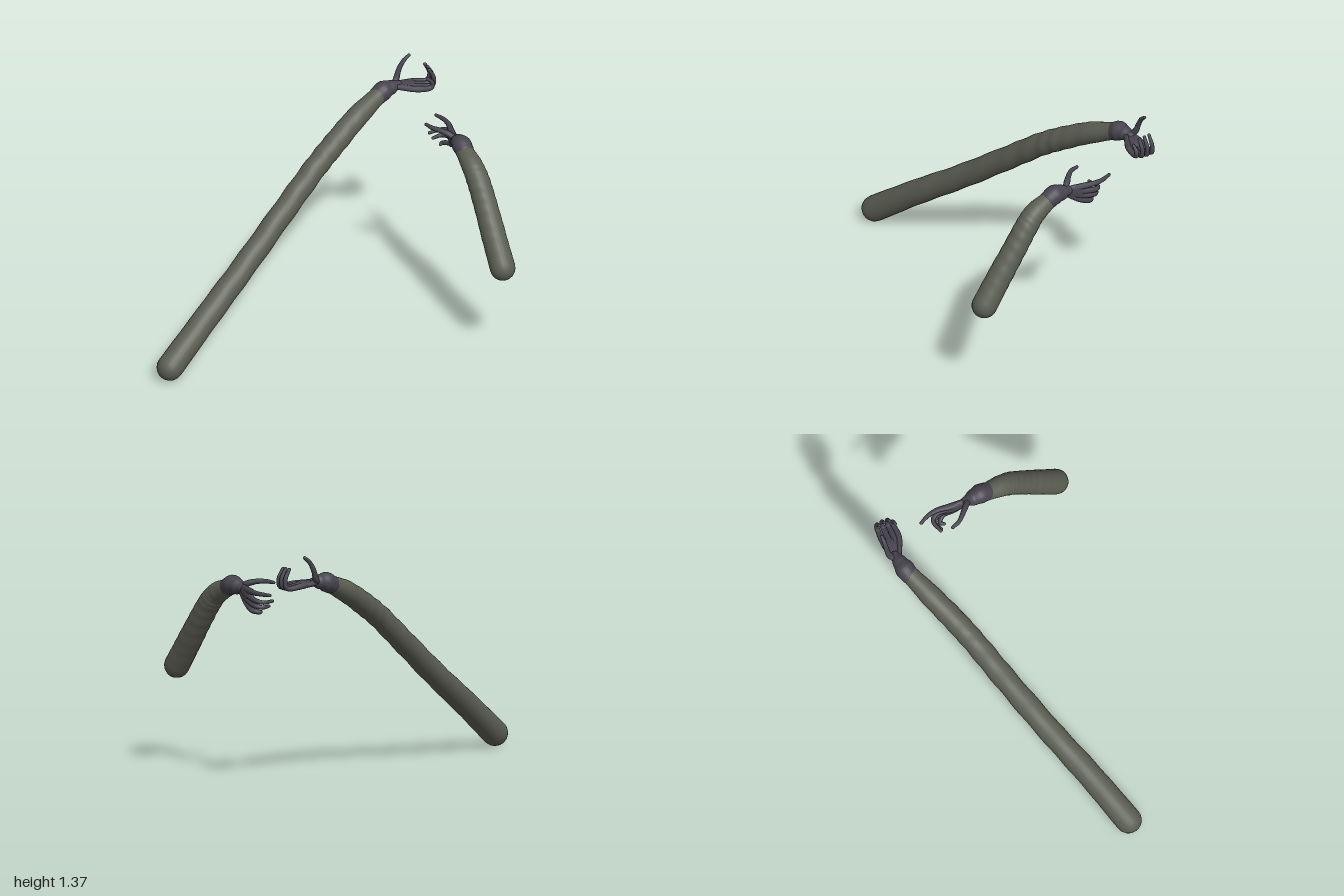
import * as THREE from 'three';

const sleeveMat = new THREE.MeshStandardMaterial({ color: 0x5b5e52 });
sleeveMat.name = 'olive sleeve';
const gloveMat = new THREE.MeshStandardMaterial({ color: 0x47444f });
gloveMat.name = 'dark glove';

// Round limb swept through [x, y, z, radius] points, with domed ends.
function limb(name, pts, material, { steps = 24, sides = 14, folds = 0 } = {}) {
  const curve = new THREE.CatmullRomCurve3(pts.map(p => new THREE.Vector3(p[0], p[1], p[2])));
  const radiusAt = t => {
    const f = t * (pts.length - 1), i = Math.min(Math.floor(f), pts.length - 2);
    return THREE.MathUtils.lerp(pts[i][3], pts[i + 1][3], THREE.MathUtils.smoothstep(f - i, 0, 1));
  };
  // rings: [t, offset along the tangent, radius scale]
  const rings = [], cap = 5;
  for (let i = 0; i < cap; i++) {
    const a = (i / cap) * Math.PI / 2;
    rings.push([0, -Math.cos(a), Math.sin(a)]);
  }
  for (let i = 0; i <= steps; i++) rings.push([i / steps, 0, 1]);
  for (let i = cap - 1; i >= 0; i--) {
    const a = (i / cap) * Math.PI / 2;
    rings.push([1, Math.cos(a), Math.sin(a)]);
  }
  const pos = [], index = [];
  const normal = new THREE.Vector3(0.13, 0.31, 0.94);
  rings.forEach(([t, off, scale], k) => {
    const T = curve.getTangent(t), r = radiusAt(t);
    normal.addScaledVector(T, -normal.dot(T)).normalize();
    const B = new THREE.Vector3().crossVectors(T, normal);
    const c = curve.getPoint(t).addScaledVector(T, off * r);
    for (let j = 0; j < sides; j++) {
      const a = (j / sides) * Math.PI * 2;
      // gentle cloth folds
      const rr = r * scale * (1 + folds * Math.sin(t * 75 + 2 * Math.sin(a)) * Math.sin(Math.PI * t));
      const v = c.clone().addScaledVector(normal, rr * Math.cos(a)).addScaledVector(B, rr * Math.sin(a));
      pos.push(v.x, v.y, v.z);
      if (k < rings.length - 1) {
        const p = k * sides + j, q = k * sides + (j + 1) % sides;
        index.push(p, q, p + sides, q, q + sides, p + sides);
      }
    }
  });
  const g = new THREE.BufferGeometry();
  g.setAttribute('position', new THREE.Float32BufferAttribute(pos, 3));
  g.setIndex(index);
  g.computeVertexNormals();
  const mesh = new THREE.Mesh(g, material);
  mesh.name = name;
  return mesh;
}

function ellipsoid(name, center, scale, rotation) {
  const mesh = new THREE.Mesh(new THREE.SphereGeometry(1, 20, 14), gloveMat);
  mesh.name = name;
  mesh.position.set(...center);
  mesh.scale.set(...scale);
  mesh.rotation.set(...rotation);
  return mesh;
}

// Finger joints get radii that bulge at the knuckles and taper to the tip.
const fingerRadii = [0.017, 0.018, 0.015, 0.0125, 0.0095];
function finger(name, joints) {
  return limb(name, joints.map((p, i) => [...p, fingerRadii[i]]), gloveMat, { steps: 20, sides: 10 });
}

function longArm() {
  const arm = new THREE.Group();
  arm.name = 'longArm';
  arm.add(limb('longSleeve', [
    [-0.925, 0.077, 0.215, 0.075], [-0.67, 0.29, 0.09, 0.071], [-0.4, 0.505, -0.05, 0.068],
    [-0.1, 0.76, -0.2, 0.066], [0.1, 0.93, -0.295, 0.065], [0.22, 1.015, -0.355, 0.065],
    [0.37, 1.11, -0.435, 0.062], [0.53, 1.19, -0.515, 0.05],
  ], sleeveMat, { steps: 90, sides: 24, folds: 0.03 }));
  arm.add(limb('longArmCuff', [
    [0.525, 1.185, -0.515, 0.053], [0.56, 1.203, -0.527, 0.056],
    [0.605, 1.21, -0.538, 0.042], [0.65, 1.213, -0.548, 0.026],
  ], gloveMat, { sides: 20 }));
  arm.add(ellipsoid('longArmPalm', [0.695, 1.207, -0.545], [0.072, 0.02, 0.047], [0, 0.05, 0]));
  // four fingers lie along the palm, then curl upward
  const zs = [-0.578, -0.545, -0.513, -0.485];
  const tips = [1.305, 1.305, 1.3, 1.26], reach = [0.845, 0.85, 0.85, 0.835];
  zs.forEach((z, i) => arm.add(finger('longArmFinger' + (i + 1), [
    [0.645, 1.212, -0.547 + (z + 0.535) * 0.4], [0.745, 1.203, z], [reach[i] - 0.01, 1.2, z],
    [reach[i], 1.2 + (tips[i] - 1.2) * 0.45, z], [reach[i] - 0.028, tips[i], z + 0.004],
  ])));
  arm.add(finger('longArmThumb', [
    [0.63, 1.212, -0.555], [0.65, 1.235, -0.578], [0.668, 1.285, -0.588],
    [0.695, 1.335, -0.591], [0.73, 1.367, -0.594],
  ]));
  return arm;
}

function shortArm() {
  const arm = new THREE.Group();
  arm.name = 'shortArm';
  arm.add(limb('shortSleeve', [
    [0.925, 0.58, 0.54, 0.072], [0.908, 0.72, 0.44, 0.07], [0.892, 0.87, 0.33, 0.067],
    [0.875, 0.99, 0.24, 0.065], [0.862, 1.045, 0.185, 0.061], [0.842, 1.1, 0.075, 0.05],
  ], sleeveMat, { steps: 60, sides: 24, folds: 0.015 }));
  arm.add(limb('shortArmCuff', [
    [0.845, 1.1, 0.08, 0.053], [0.84, 1.115, 0.045, 0.056],
    [0.835, 1.113, 0, 0.046], [0.83, 1.11, -0.045, 0.028],
  ], gloveMat, { sides: 20 }));
  arm.add(ellipsoid('shortArmPalm', [0.832, 1.085, -0.1], [0.021, 0.047, 0.075], [-0.32, 0, 0]));
  // pointing finger
  arm.add(finger('shortArmFinger1', [
    [0.83, 1.115, -0.04], [0.835, 1.112, -0.14], [0.842, 1.112, -0.21],
    [0.832, 1.113, -0.27], [0.805, 1.113, -0.325],
  ]));
  // three fingers curl inward
  const curled = [[1.06, -0.252, 0.738], [1.03, -0.24, 0.755], [0.998, -0.21, 0.79]];
  curled.forEach(([y, z, x], i) => arm.add(finger('shortArmFinger' + (i + 2), [
    [0.83, 1.108 - 0.01 * i, -0.04], [0.836, 1.082 - 0.025 * i, -0.14 + 0.01 * i],
    [0.838, y + 0.008, z + 0.03], [0.806, y, z], [x, y, z + 0.018],
  ])));
  arm.add(finger('shortArmThumb', [
    [0.828, 1.118, -0.03], [0.795, 1.138, -0.06], [0.757, 1.15, -0.092],
    [0.72, 1.153, -0.13], [0.7, 1.152, -0.177],
  ]));
  return arm;
}

export function createModel() {
  const model = new THREE.Group();
  model.name = 'pairOfArms';
  model.add(longArm(), shortArm());
  return model;
}
